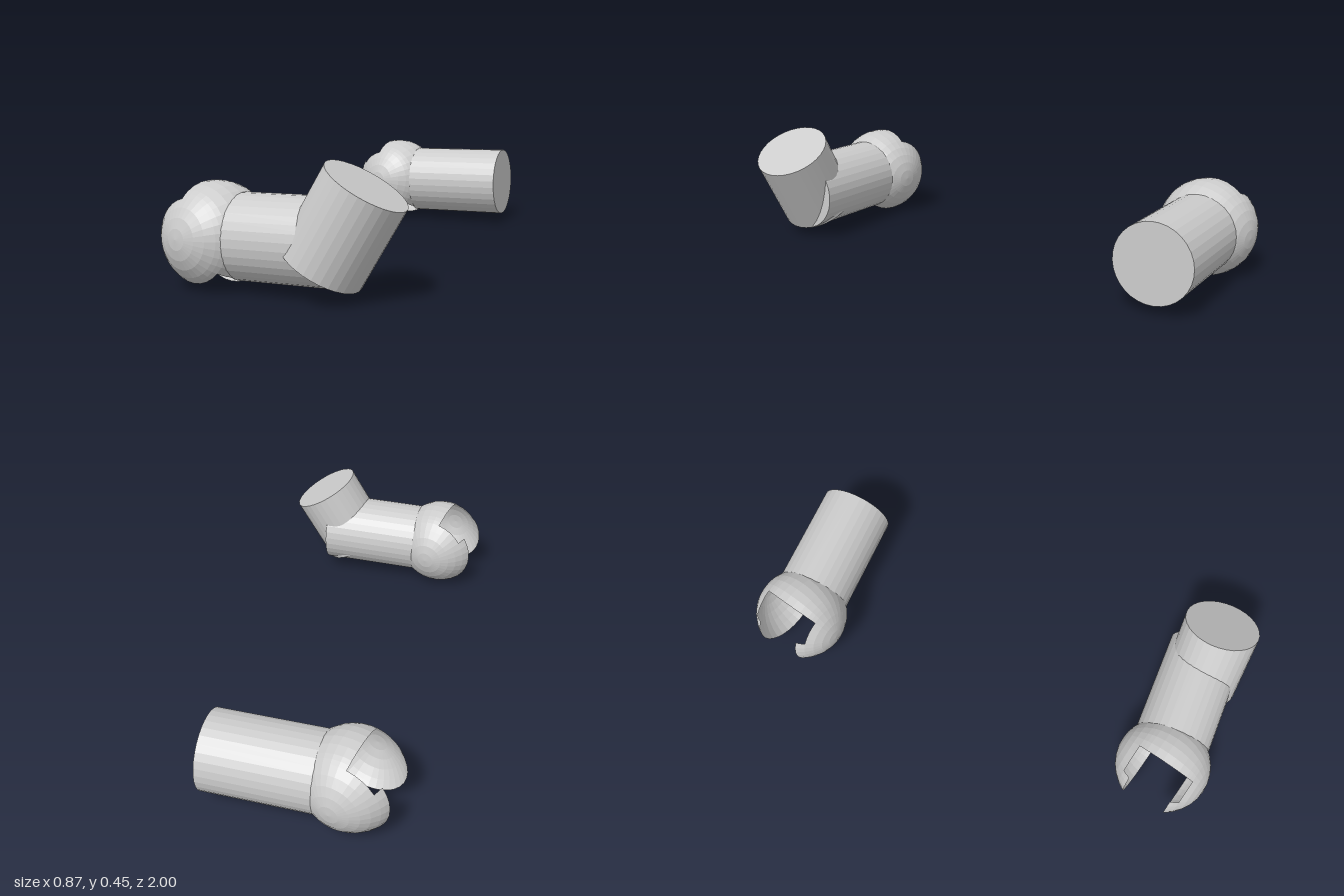
import * as THREE from 'three';

const R_PIPE = 0.15, R_BALL = 0.187, STEP = 11.25; // ball grid: 32 segments x 16 rings
const v = (x, y, z) => new THREE.Vector3(x, y, z);
const mat = new THREE.MeshStandardMaterial({ color: 0xcccccc, flatShading: true });
const shellMat = new THREE.MeshStandardMaterial({ color: 0xcccccc, flatShading: true, side: THREE.DoubleSide });

// Closed straight pipe between two points
function pipe(name, a, b) {
  const dir = b.clone().sub(a);
  const mesh = new THREE.Mesh(new THREE.CylinderGeometry(R_PIPE, R_PIPE, dir.length(), 32), mat);
  mesh.position.copy(a).add(b).multiplyScalar(0.5);
  mesh.quaternion.setFromUnitVectors(v(0, 1, 0), dir.normalize());
  mesh.name = name;
  return mesh;
}

// Patches of the open socket: [name, azimuth start, azimuth end, first ring, last ring]
const PATCHES = [
  ['frontLobe', 0, 360, 0, 4],
  ['frontLobeRim', 146.25, 461.25, 4, 5],
  ['socketBand', -45, 101.25, 5, 10],
  ['backLobeRim', 146.25, 461.25, 10, 11],
  ['backLobe', 0, 360, 11, 16],
];

function socket(center) {
  const group = new THREE.Group();
  group.name = 'socket';
  const rad = THREE.MathUtils.degToRad;
  for (const [name, a0, a1, r0, r1] of PATCHES) {
    const geo = new THREE.SphereGeometry(R_BALL, Math.round((a1 - a0) / STEP), r1 - r0,
      rad(a0 + 180), rad(a1 - a0), rad(r0 * STEP), rad((r1 - r0) * STEP));
    const mesh = new THREE.Mesh(geo, shellMat);
    mesh.name = name;
    group.add(mesh);
  }
  // Ball poles point sideways, slightly twisted from the pipe
  const pole = v(-0.3, 0.05, 0.95).normalize();
  const up = pole.clone().cross(v(1, 0, 0)).normalize();
  const side = up.clone().cross(pole);
  group.setRotationFromMatrix(new THREE.Matrix4().makeBasis(side, pole, up.negate()));
  group.position.copy(center);
  return group;
}

// Socket with its straight pipe
function arm(name, center) {
  const group = new THREE.Group();
  group.name = name;
  const axis = v(0.524, 0.01, 0.042);
  group.add(socket(center), pipe('mainPipe',
    center.clone().addScaledVector(axis, 0.2), center.clone().add(axis)));
  return group;
}

export function createModel() {
  const model = new THREE.Group();
  const front = arm('frontArm', v(-0.26, 0.171, 0.791));
  // Slanted branch crossing the end of the front pipe
  front.add(pipe('branchPipe', v(0.148, 0.105, 0.848), v(0.303, 0.373, 0.848)));
  model.add(front, arm('backArm', v(-0.124, 0.171, -0.812)));
  return model;
}
